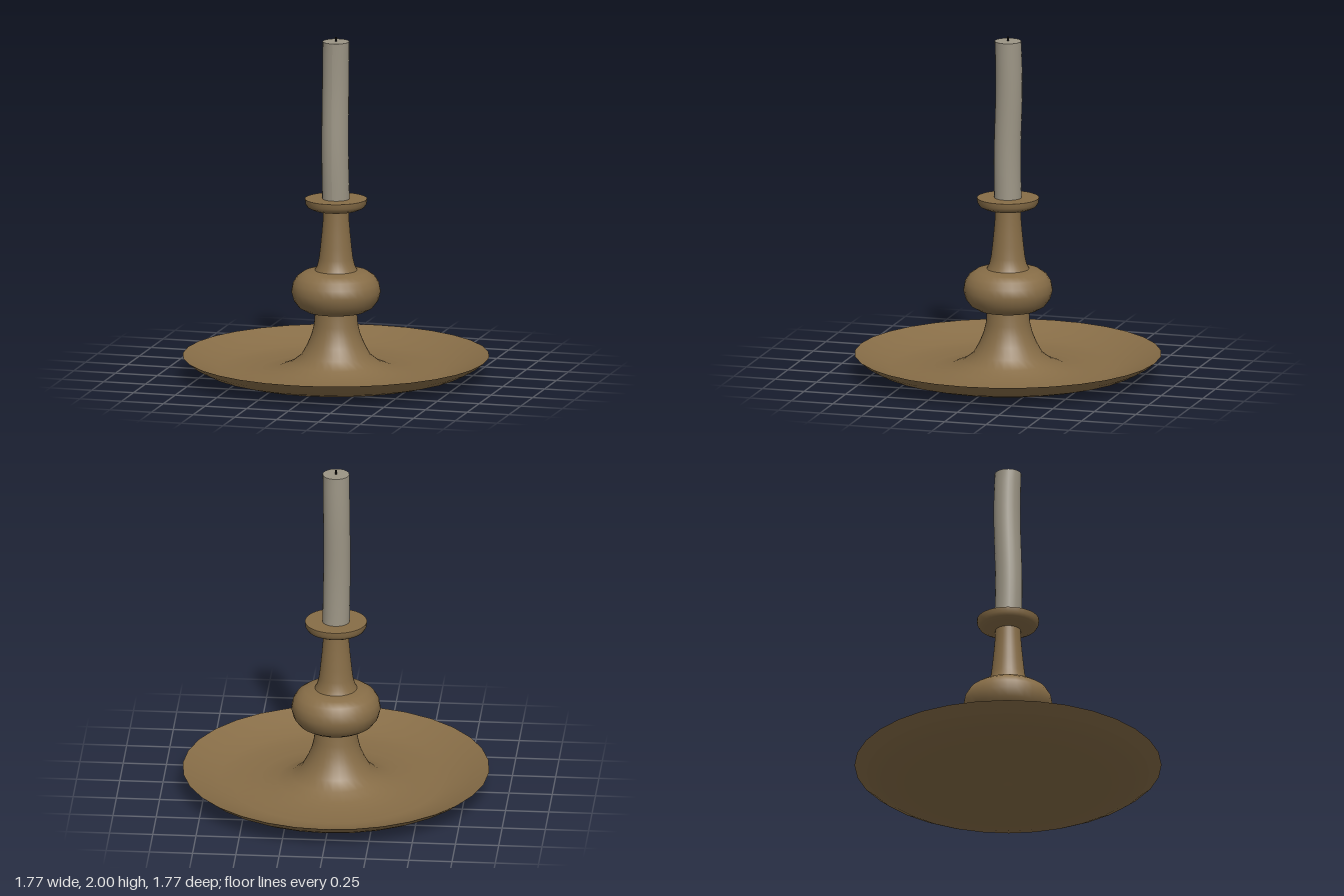
import * as THREE from 'three';

const SEGMENTS = 32;

export function createModel() {
  const group = new THREE.Group();
  const material = (name, color) => {
    const m = new THREE.MeshStandardMaterial({ color });
    m.name = name;
    return m;
  };
  const brass = material('aged brass', 0x876d47);
  const wax = material('candle wax', 0x9c9585);
  const char = material('charred wick', 0x1c1a18);

  const add = (name, geometry, mat) => {
    const mesh = new THREE.Mesh(geometry, mat);
    mesh.name = name;
    group.add(mesh);
    return mesh;
  };
  // Smooth turned surface; separate profiles meet in sharp edges
  const turned = (name, profile) => add(name,
    new THREE.LatheGeometry(profile.map(([r, y]) => new THREE.Vector2(r, y)), SEGMENTS), brass);

  // Shallow dish, with the floor sweeping up into the lower stem
  turned('dishUnderside', [[0, 0], [0.06, 0.008], [0.3, 0.01], [0.58, 0.01], [0.67, 0.021],
    [0.76, 0.047], [0.83, 0.083], [0.885, 0.127]]);
  turned('dishAndLowerStem', [[0.885, 0.127], [0.78, 0.082], [0.68, 0.05], [0.6, 0.038],
    [0.45, 0.037], [0.34, 0.052], [0.26, 0.083], [0.2, 0.13], [0.165, 0.195], [0.142, 0.25],
    [0.127, 0.31], [0.121, 0.385]]);

  // Rounded knop
  turned('knop', [[0.1, 0.382], [0.13, 0.382], [0.175, 0.392], [0.215, 0.415], [0.244, 0.453],
    [0.258, 0.505], [0.249, 0.553], [0.225, 0.592], [0.185, 0.619], [0.13, 0.63], [0.1, 0.63]]);

  // Tapering neck
  turned('neck', [[0.125, 0.625], [0.109, 0.655], [0.098, 0.7], [0.09, 0.77], [0.082, 0.85],
    [0.076, 0.92], [0.073, 0.985]]);

  // Drip cup
  turned('dripCupUnderside', [[0.05, 0.978], [0.09, 0.98], [0.135, 0.988], [0.165, 1.003],
    [0.177, 1.022], [0.179, 1.05]]);
  turned('dripCupTop', [[0.179, 1.05], [0.05, 1.05]]);

  // Candle, gently bowed along its height
  const bottom = 1.04, top = 1.975;
  const candle = new THREE.CylinderGeometry(0.077, 0.079, top - bottom, 24, 12);
  candle.translate(0, (top + bottom) / 2, 0);
  const p = candle.attributes.position;
  for (let i = 0; i < p.count; i++) {
    const t = (p.getY(i) - bottom) / (top - bottom);
    p.setX(i, p.getX(i) - 0.005 * Math.sin(t * Math.PI));
    p.setZ(i, p.getZ(i) + 0.005 * Math.sin(t * Math.PI * 2));
  }
  candle.computeVertexNormals();
  add('candle', candle, wax);

  // Wick
  add('wick', new THREE.CylinderGeometry(0.005, 0.006, 0.04, 8), char).position.y = 1.98;

  return group;
}
